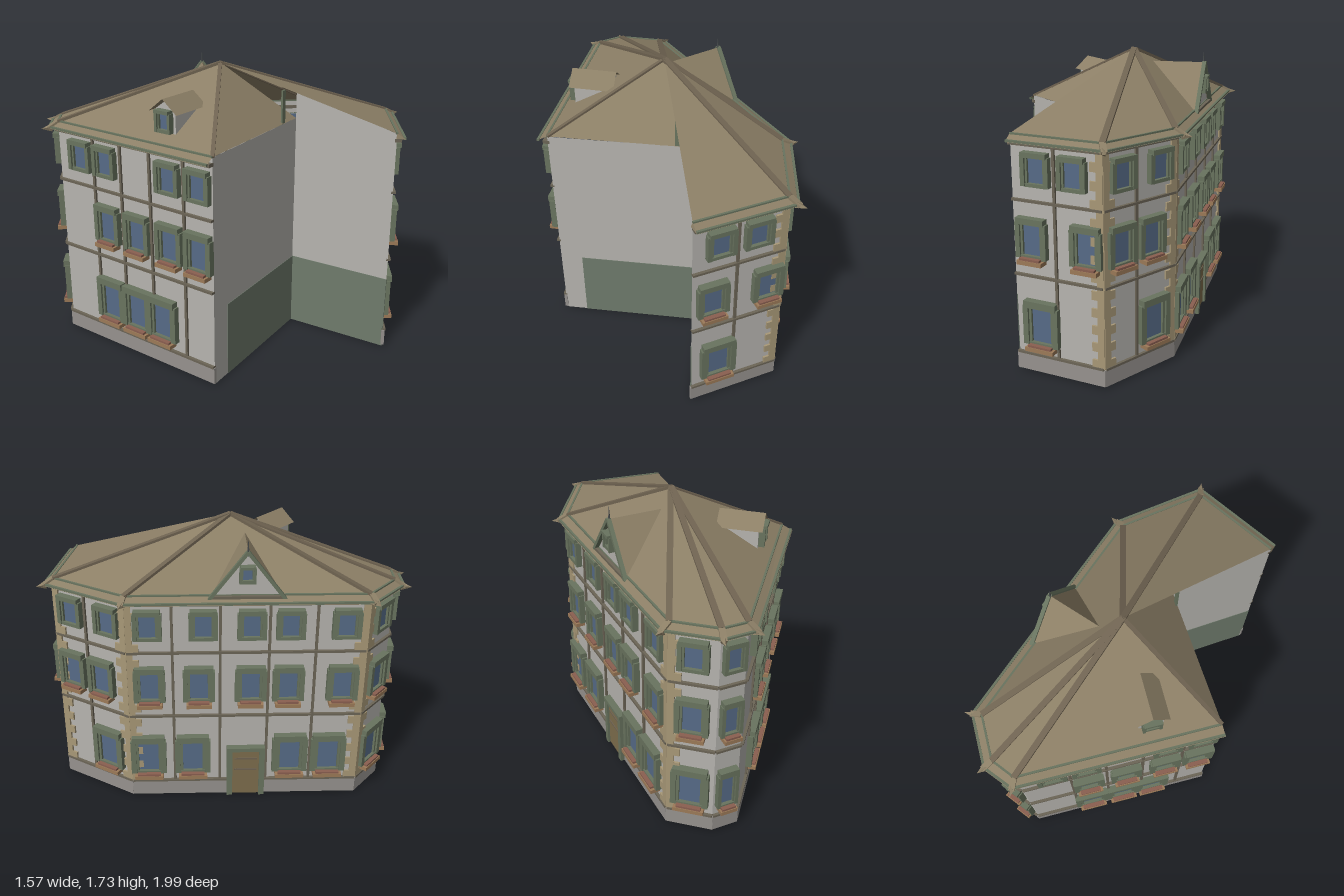
import * as THREE from 'three';

const mat = (color) => new THREE.MeshStandardMaterial({ color, flatShading: true, side: THREE.DoubleSide });
const M = {
  wall: mat(0xb6b4af), roof: mat(0x8c7f66), hip: mat(0x6f6351), trim: mat(0x69745f), panel: mat(0x6f7b6c),
  timber: mat(0x6c6556), quoin: mat(0xa89877), plinth: mat(0x96928e), glass: mat(0x566b87),
  door: mat(0x7d6d4c), sill: mat(0x9c7a58), flower: mat(0x8a5f50), iron: mat(0x45484a),
};
const V = (x, y, z) => new THREE.Vector3(x, y, z);

function box(parent, name, material, w, h, d, x, y, z) {
  const m = new THREE.Mesh(new THREE.BoxGeometry(w, h, d), material);
  m.position.set(x, y, z);
  m.name = name;
  parent.add(m);
  return m;
}

// flat polygon from corner points, as a fan
function poly(parent, name, material, pts) {
  const v = [];
  for (let i = 1; i < pts.length - 1; i++) v.push(pts[0], pts[i], pts[i + 1]);
  const g = new THREE.BufferGeometry().setFromPoints(v);
  g.computeVertexNormals();
  const m = new THREE.Mesh(g, material);
  m.name = name;
  parent.add(m);
}

// straight beam between two points
function bar(parent, name, material, a, b, w, h) {
  const mid = a.clone().add(b).multiplyScalar(0.5);
  const m = box(parent, name, material, w, h, a.distanceTo(b), mid.x, mid.y, mid.z);
  m.quaternion.copy(new THREE.Quaternion().setFromRotationMatrix(new THREE.Matrix4().lookAt(b, a, V(0, 1, 0))));
}

// window centred on u, outer size w by y0..y1, with shutters, lintel and sill
function addWindow(parent, u, y0, y1, w, z = 0, sill = true) {
  const g = new THREE.Group();
  g.name = 'window';
  g.position.set(u, y0, z);
  const h = y1 - y0, s = w * 0.2;
  box(g, 'glass', M.glass, w - 2 * s, h * 0.9, 0.012, 0, h / 2, 0.004);
  for (const k of [-1, 1]) {
    box(g, 'shutter', M.trim, s * 0.75, h * 0.86, 0.036, k * (w / 2 - s * 0.4), h * 0.45, 0.018);
    box(g, 'jamb', M.trim, s * 0.35, h * 0.9, 0.024, k * (w / 2 - s * 0.95), h * 0.47, 0.012);
  }
  box(g, 'lintel', M.trim, w * 0.9, h * 0.15, 0.044, 0, h * 0.925, 0.022);
  box(g, 'bottomRail', M.trim, w * 0.8, 0.02, 0.03, 0, 0.01, 0.015);
  if (sill) {
    box(g, 'flowerBox', M.sill, w * 0.8, 0.024, 0.06, 0, -0.015, 0.03);
    box(g, 'flowers', M.flower, w * 0.65, 0.014, 0.035, 0, 0.003, 0.038);
  }
  parent.add(g);
}

// local frame on a wall: x along it to the right, z outwards
function wallFrame(root, name, a, b) {
  const g = new THREE.Group();
  g.name = name;
  g.position.set(a[0], 0, a[1]);
  g.rotation.y = Math.atan2(-(b[1] - a[1]), b[0] - a[0]);
  g.userData.len = Math.hypot(b[0] - a[0], b[1] - a[1]);
  root.add(g);
  return g;
}

function rect(parent, name, material, x0, x1, y0, y1, z) {
  poly(parent, name, material, [V(x0, y0, z), V(x1, y0, z), V(x1, y1, z), V(x0, y1, z)]);
}

export function createModel() {
  const root = new THREE.Group();
  root.name = 'cornerHouse';

  // plan corners (x, z) of walls and eaves
  const W = [[-0.705, 0.345], [-0.695, -0.81], [-0.575, -0.905], [-0.31, -0.905], [0.61, 0.14], [0.69, 0.645], [0.235, 0.94]];
  const E = [[-0.77, 0.35], [-0.752, -0.84], [-0.6, -0.965], [-0.28, -0.965], [0.668, 0.11], [0.752, 0.67], [0.265, 0.985]];
  const J = [0.19, 0.3];
  const EAVE = 1.375, apex = V(-0.1, 1.72, -0.05);

  // decorated facades: window places as fractions per floor
  const facades = [
    { name: 'frontFacade', i: 6, floors: [[0.3], [0.22, 0.83], [0.29, 0.69]], strips: [0.48], q: [0, 1] },
    { name: 'sideFacade', i: 5, floors: [[0.68], [0.22, 0.64], [0.24, 0.76]], strips: [0.44], q: [1, 1] },
    { name: 'entranceFacade', i: 4, floors: [[0.075, 0.27, 0.7, 0.87], [0.09, 0.3, 0.52, 0.68, 0.91], [0.09, 0.32, 0.52, 0.68, 0.91]],
      strips: [0.19, 0.39, 0.595, 0.79], q: [1, 1] },
    { name: 'backFacade', i: 3, floors: [[0.5], [0.5], [0.5]], strips: [], q: [1, 0] },
    { name: 'chamferFacade', i: 2, floors: [[0.5], [0.5], [0.5]], strips: [], q: [0, 0] },
    { name: 'leftFacade', i: 1, floors: [[0.33, 0.51, 0.68], [0.33, 0.53, 0.74, 0.92], [0.16, 0.33, 0.74, 0.92]],
      strips: [0.245, 0.43, 0.62, 0.83], q: [0, 0] },
  ];
  const size = [[0.18, 0.45, 0.22], [0.695, 0.93, 0.19], [1.105, 1.295, 0.17]];
  const frames = {};
  for (const f of facades) {
    const g = wallFrame(root, f.name, W[f.i], W[f.i - 1]);
    const L = g.userData.len;
    frames[f.name] = g;
    rect(g, 'wall', M.wall, 0, L, 0.01, EAVE, 0);
    box(g, 'plinth', M.plinth, L + 0.01, 0.1, 0.02, L / 2, 0.06, 0.002);
    for (const y of [0.115, 0.59, 1.02]) box(g, 'floorBand', M.timber, L, 0.014, 0.026, L / 2, y, 0.004);
    box(g, 'eaveBoard', M.timber, L, 0.02, 0.04, L / 2, 1.335, 0.01);
    for (const t of f.strips) box(g, 'pilaster', M.timber, 0.016, 1.22, 0.016, t * L, 0.725, 0.004);
    f.floors.forEach((list, k) => {
      const [y0, y1, w] = size[k];
      for (const t of list) addWindow(g, t * L, y0, y1, Math.min(w, L * 0.85), 0, k < 2);
    });
    // corner stones, alternately long and short
    f.q.forEach((on, end) => {
      if (!on) return;
      for (let k = 0; k < 24; k++) {
        const w = k % 2 ? 0.04 : 0.075;
        box(g, 'cornerStone', M.quoin, w, 0.0505, 0.018, end ? L - w / 2 + 0.005 : w / 2 - 0.005, 0.14 + k * 0.0505, 0.003);
      }
    });
  }

  // front door
  const entry = frames.entranceFacade, mid = entry.userData.len * 0.505;
  box(entry, 'door', M.door, 0.17, 0.32, 0.03, mid, 0.175, 0.008);
  for (const k of [-1, 1]) box(entry, 'doorPost', M.trim, 0.035, 0.35, 0.045, mid + k * 0.1, 0.185, 0.015);
  box(entry, 'doorLintel', M.trim, 0.235, 0.025, 0.05, mid, 0.353, 0.018);
  box(entry, 'doorRail', M.hip, 0.14, 0.01, 0.04, mid, 0.2, 0.008);
  box(entry, 'doorRail', M.hip, 0.14, 0.01, 0.04, mid, 0.28, 0.008);

  // plain party walls with low green panels
  const party = wallFrame(root, 'partyWall', W[0], J), PL = party.userData.len;
  rect(party, 'wall', M.wall, 0, PL, 0, EAVE, 0);
  box(party, 'greenPanel', M.panel, PL - 0.135, 0.46, 0.006, (PL + 0.135) / 2, 0.23, 0);
  const inner = wallFrame(root, 'innerWall', J, W[6]), IL = inner.userData.len;
  poly(inner, 'wall', M.wall, [V(0, 0, 0), V(IL, 0, 0), V(IL, EAVE, 0), V(0, 1.55, 0)]);
  box(inner, 'greenPanel', M.panel, IL, 0.46, 0.006, IL / 2, 0.23, 0);

  // main roof: facets to the apex, flared eaves, gutters and hips
  const roof = new THREE.Group();
  roof.name = 'roof';
  root.add(roof);
  const inr = W.map(([x, z]) => V(x, EAVE + 0.003, z));
  const out = E.map(([x, z]) => V(x, 1.343, z));
  for (let i = 0; i < 6; i++) {
    if (i < 5) poly(roof, 'roofFacet', M.roof, [apex, inr[i], inr[i + 1]]);
    poly(roof, 'eave', M.roof, [inr[i], out[i], out[i + 1], inr[i + 1]]);
    bar(roof, 'gutter', M.trim, out[i].clone().lerp(inr[i], 0.15), out[i + 1].clone().lerp(inr[i + 1], 0.15), 0.014, 0.014);
    bar(roof, 'eaveLine', M.trim, inr[i], inr[i + 1], 0.012, 0.012);
  }
  poly(roof, 'frontWingRoof', M.roof, [apex, inr[5], inr[6], V(0.195, 1.562, 0.3), V(0.02, 1.594, 0.3)]);
  poly(roof, 'wingEaveEnd', M.roof, [inr[6], out[6], V(0.225, 1.35, 0.94)]);
  poly(roof, 'frontFacet', M.roof, [apex, inr[0], V(J[0], EAVE, J[1])]);
  box(roof, 'valleyPost', M.trim, 0.03, 0.21, 0.012, 0.042, 1.47, 0.3);
  bar(roof, 'frontHip', M.hip, apex, inr[0], 0.022, 0.012);
  for (let i = 1; i < 6; i++) {
    bar(roof, 'hip', M.hip, apex, inr[i], 0.034, 0.016);
    bar(roof, 'hip', M.roof, inr[i], out[i], 0.034, 0.016);
    // pointed hip end
    const dir = out[i].clone().sub(inr[i]).setY(0).normalize();
    const tip = new THREE.Mesh(new THREE.ConeGeometry(0.024, 0.06, 4), M.roof);
    tip.name = 'hipEnd';
    tip.position.copy(out[i]).addScaledVector(dir, 0.008);
    tip.quaternion.setFromUnitVectors(V(0, 1, 0), dir);
    roof.add(tip);
  }

  // gabled dormer above the door
  const gable = new THREE.Group();
  gable.name = 'gableDormer';
  gable.position.x = mid - 0.01;
  entry.add(gable);
  const peak = V(0, 1.64, 0.015), back = V(0, 1.636, -0.31);
  poly(gable, 'gableWall', M.wall, [V(-0.2, 1.365, 0), V(0.2, 1.365, 0), V(0, 1.625, 0)]);
  for (const k of [-1, 1]) {
    const foot = V(k * 0.215, 1.36, 0.015);
    poly(gable, 'gableRoof', M.roof, [peak, foot, back]);
    bar(gable, 'bargeBoard', M.trim, peak, foot, 0.024, 0.02);
  }
  box(gable, 'gableSill', M.timber, 0.4, 0.016, 0.03, 0, 1.372, 0.01);
  addWindow(gable, 0, 1.455, 1.56, 0.095, 0, false);
  const spike = new THREE.Mesh(new THREE.ConeGeometry(0.009, 0.1, 6), M.iron);
  spike.name = 'finial';
  spike.position.set(0, 1.665, 0.01);
  gable.add(spike);

  // small dormer on the left slope
  const dormer = new THREE.Group();
  dormer.name = 'leftDormer';
  dormer.position.set(0.775, 0, -0.08);
  frames.leftFacade.add(dormer);
  const s = new THREE.Shape([[-0.07, 1.4], [0.07, 1.4], [0.07, 1.55], [0, 1.6], [-0.07, 1.55]].map((p) => new THREE.Vector2(...p)));
  const body = new THREE.Mesh(new THREE.ExtrudeGeometry(s, { depth: 0.22, bevelEnabled: false }), M.wall);
  body.name = 'dormerWall';
  body.position.z = -0.22;
  dormer.add(body);
  for (const k of [-1, 1]) {
    poly(dormer, 'dormerRoof', M.roof, [V(0, 1.615, 0.025), V(k * 0.097, 1.538, 0.025), V(k * 0.097, 1.538, -0.24), V(0, 1.615, -0.24)]);
  }
  addWindow(dormer, 0, 1.425, 1.555, 0.11, 0, false);
  return root;
}
